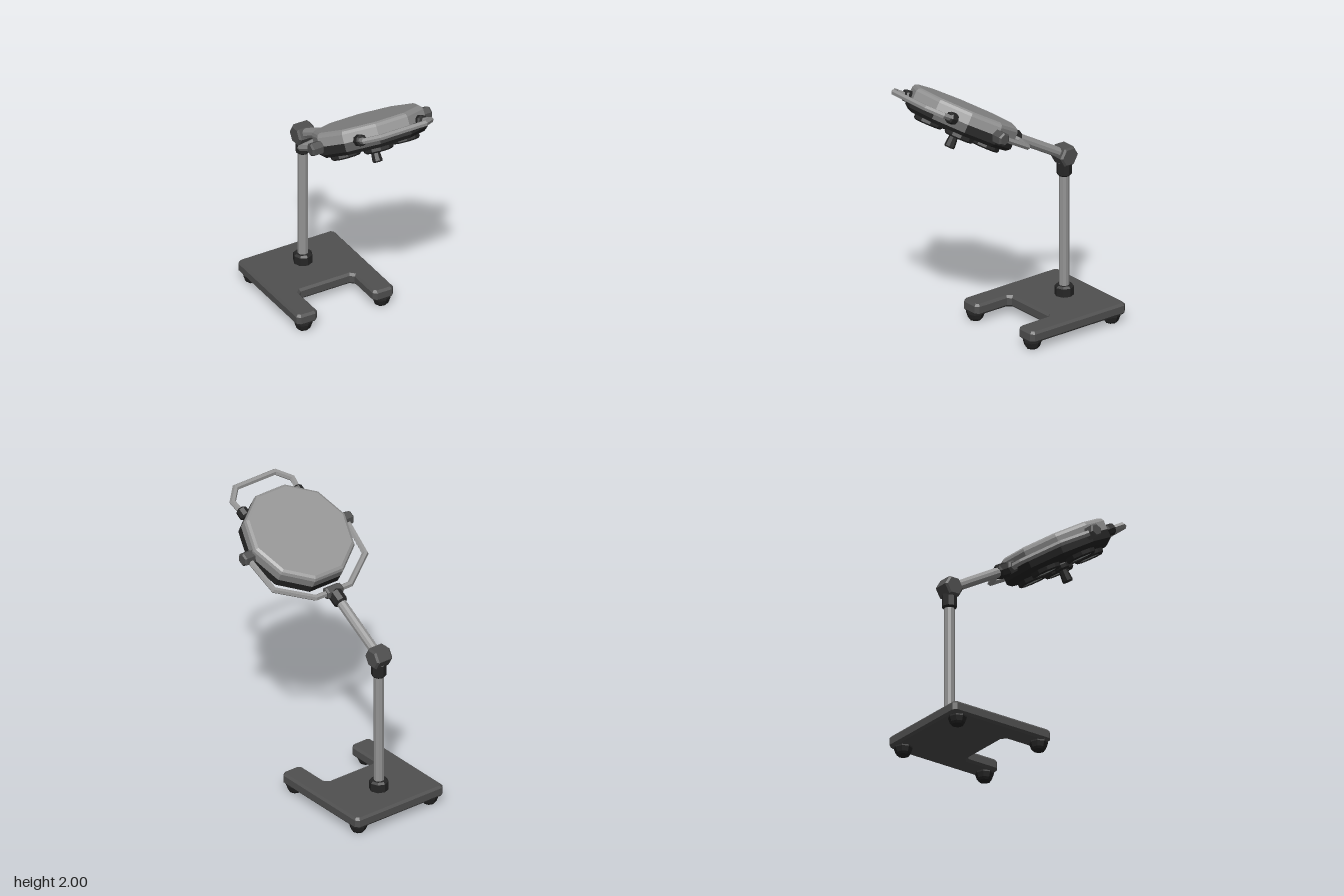
import * as THREE from 'three';

const mat = (name, color) => Object.assign(new THREE.MeshStandardMaterial({ color }), { name });

export function createModel() {
  const steel = mat('steel grey', 0x949494);
  const slate = mat('slate grey', 0x505050);
  const black = mat('soft black', 0x262626);
  const glass = mat('lens glass', 0xa0a6a4);
  const model = new THREE.Group();
  model.name = 'examinationLamp';

  // Faceted mesh with hard edges
  function add(parent, name, geometry, material, x = 0, y = 0, z = 0) {
    const g = geometry.index ? geometry.toNonIndexed() : geometry;
    g.computeVertexNormals();
    const mesh = new THREE.Mesh(g, material);
    mesh.name = name;
    mesh.position.set(x, y, z);
    parent.add(mesh);
    return mesh;
  }

  // Turned solid from [radius, height] pairs, listed bottom to top
  const turned = (pairs, sides, start = 0) =>
    new THREE.LatheGeometry(pairs.map(([r, y]) => new THREE.Vector2(r, y)), sides, start);

  // Upright prism, centred, with bevelled rims
  const prism = (r, h, sides, b = 0.012, start = 0) => turned(
    [[0, -h / 2], [r - b, -h / 2], [r, -h / 2 + b], [r, h / 2 - b], [r - b, h / 2], [0, h / 2]], sides, start);

  // Six-sided bar swept with mitred corners along [x, z] points in the y = 0 plane
  function bar(points, radius) {
    const p = points.map(([x, z]) => new THREE.Vector2(x, z));
    const n = p.length, sides = 6, pos = [], idx = [];
    for (let i = 0; i < n; i++) {
      const a = p[i].clone().sub(p[Math.max(i - 1, 0)]).normalize();
      const b = p[Math.min(i + 1, n - 1)].clone().sub(p[i]).normalize();
      const d = a.clone().add(b).normalize();
      const stretch = 1 / d.dot(i ? a : b);
      for (let k = 0; k < sides; k++) {
        const t = (k / sides) * Math.PI * 2;
        const off = Math.cos(t) * radius * stretch;
        pos.push(p[i].x + d.y * off, Math.sin(t) * radius, p[i].y - d.x * off);
        if (i < n - 1) {
          const q = i * sides + k, r = i * sides + (k + 1) % sides;
          idx.push(q, q + sides, r, r, q + sides, r + sides);
        }
      }
    }
    const g = new THREE.BufferGeometry();
    g.setAttribute('position', new THREE.Float32BufferAttribute(pos, 3));
    // Make the winding face outward
    const v = (i) => new THREE.Vector3().fromArray(pos, i * 3);
    const normal = v(idx[1]).sub(v(idx[0])).cross(v(idx[2]).sub(v(idx[0])));
    const centre = new THREE.Vector3(p[0].x, 0, p[0].y);
    if (normal.dot(v(0).add(v(1)).multiplyScalar(0.5).sub(centre)) < 0) idx.reverse();
    g.setIndex(idx);
    return g;
  }
  const mirrored = (half) => [...half, ...half.map(([x, z]) => [-x, z]).reverse()];

  // Base plate with a notch at the front (shape y is -z)
  const outline = mirrored([
    [0.195, 0.265], [0.22, 0.24], [0.22, 0], [0.245, -0.025], [0.36, -0.025],
    [0.385, 0], [0.385, 0.785], [0.36, 0.81],
  ]).map(([x, y]) => new THREE.Vector2(x, y));
  const plate = new THREE.ExtrudeGeometry(new THREE.Shape(outline), {
    depth: 0.051, bevelEnabled: true, bevelThickness: 0.017, bevelSize: 0.015,
    bevelOffset: -0.015, bevelSegments: 1,
  });
  plate.rotateX(-Math.PI / 2);
  add(model, 'basePlate', plate, slate, 0, 0.077, 0);

  // Feet
  for (const x of [-0.31, 0.31]) {
    for (const z of [-0.035, -0.73]) {
      add(model, 'foot', turned([[0, 0], [0.042, 0], [0.053, 0.015], [0.065, 0.05], [0.065, 0.065], [0, 0.065]], 8),
        black, x, 0, z);
    }
  }

  // Post with collars and elbow joint
  const postZ = -0.567;
  add(model, 'postCollar', prism(0.068, 0.09, 8, 0.014), black, 0, 0.175, postZ);
  add(model, 'post', prism(0.037, 0.92, 10, 0.002), steel, 0, 0.65, postZ);
  add(model, 'elbowCollar', prism(0.053, 0.11, 8), black, 0, 1.093, postZ);
  add(model, 'elbowJoint', prism(0.077, 0.134, 6, 0.014).rotateZ(Math.PI / 2), slate, 0, 1.192, postZ);

  // Tilted assembly, origin at the centre of the lamp head
  const head = new THREE.Group();
  head.name = 'lampHead';
  head.position.set(0, 1.715, 0.34);
  head.rotation.x = -Math.PI / 6;
  model.add(head);

  // Arm from elbow to yoke
  add(head, 'arm', prism(0.036, 0.53, 10, 0.002).rotateX(Math.PI / 2), steel, 0, 0, -0.77);
  add(head, 'armCollar', prism(0.053, 0.1, 8).rotateX(Math.PI / 2), black, 0, 0, -0.525);
  add(head, 'yokeClamp', prism(0.045, 0.134, 6).rotateZ(Math.PI / 2), slate, 0, 0, -0.465);

  // Yoke around the back of the head, with side knobs
  add(head, 'yoke', bar(mirrored([[0.43, 0], [0.4, -0.295], [0.15, -0.465]]), 0.022), steel);
  for (const s of [-1, 1]) {
    add(head, 'sideKnob', prism(0.05, 0.095, 6).rotateZ(Math.PI / 2), slate, s * 0.428, 0, 0);
  }

  // Ten-sided shell and dark underside
  const turn = Math.PI / 10;
  add(head, 'shell', turned([[0.4, 0], [0.4, 0.063], [0.39, 0.083], [0.37, 0.094], [0, 0.096]], 10, turn), steel);
  add(head, 'underside', turned([[0, -0.085], [0.37, -0.085], [0.4, -0.06], [0.4, 0], [0, 0]], 10, turn), black);

  // Five lights in a ring
  for (let i = 0; i < 5; i++) {
    const a = Math.PI + (i * Math.PI * 2) / 5;
    const x = Math.cos(a) * 0.222, z = Math.sin(a) * 0.222;
    add(head, 'lightRim', turned([[0.086, -0.112], [0.088, -0.122], [0.096, -0.122], [0.107, -0.112], [0.107, -0.08]], 10, turn),
      black, x, 0, z);
    add(head, 'lens', turned([[0, -0.118], [0.087, -0.114]], 10, turn), glass, x, 0, z);
  }

  // Central grip
  add(head, 'gripFlange', prism(0.052, 0.05, 8), black, 0, -0.105, 0);
  add(head, 'grip', turned([[0, -0.218], [0.034, -0.218], [0.038, -0.208], [0.03, -0.12], [0, -0.12]], 8), black);

  // Front handle and its clamps
  add(head, 'frontHandle', bar(mirrored([[0.245, 0.3], [0.262, 0.43], [0.173, 0.522]]), 0.022), steel);
  for (const s of [-1, 1]) {
    add(head, 'handleClamp', prism(0.042, 0.075, 8).rotateX(Math.PI / 2), black, s * 0.242, 0, 0.322);
  }
  return model;
}
